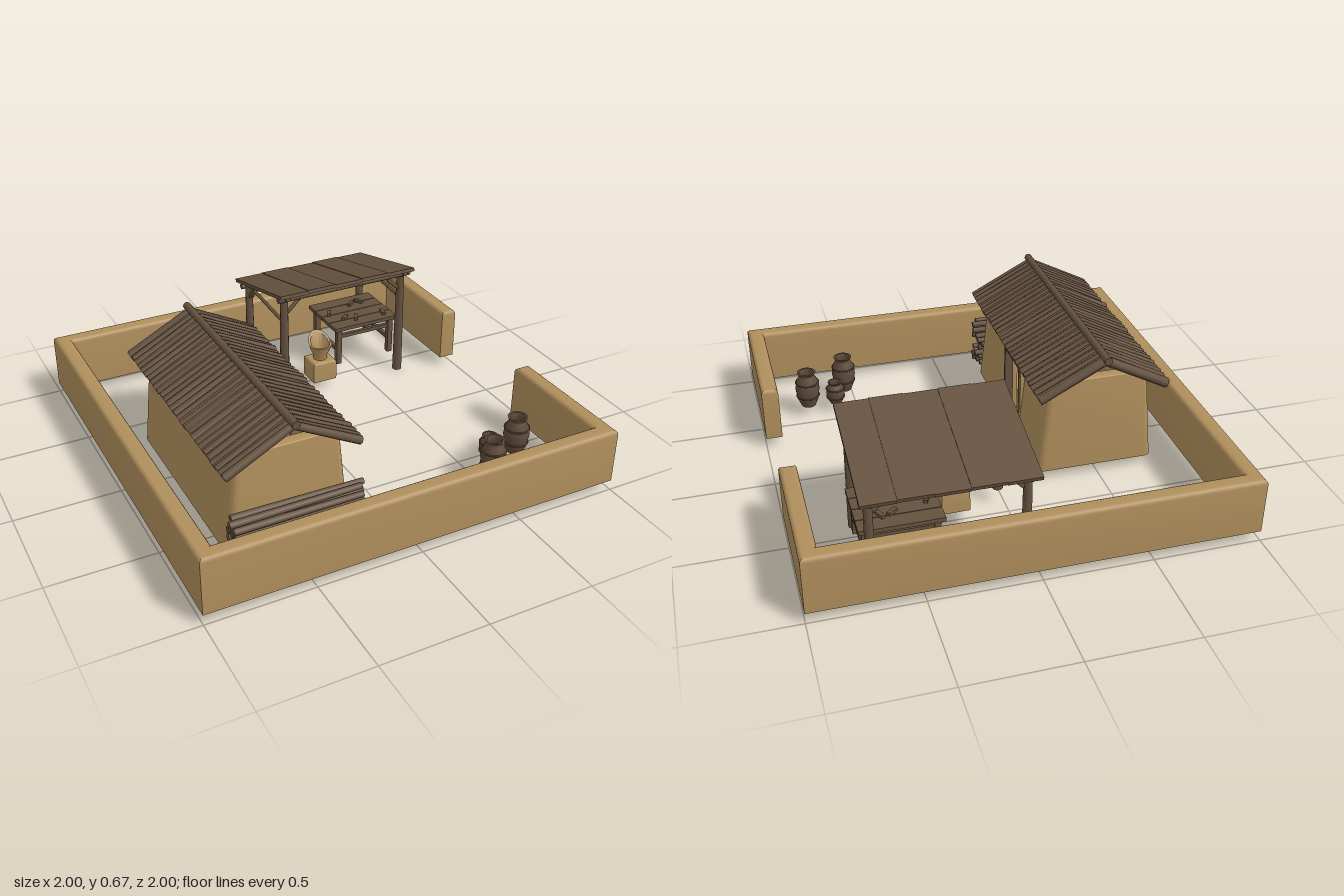
import * as THREE from 'three';
import { toCreasedNormals } from 'three/addons/utils/BufferGeometryUtils.js';

const V = (x, y, z) => new THREE.Vector3(x, y, z);

export function createModel() {
  const model = new THREE.Group();
  const material = (name, color) => {
    const m = new THREE.MeshStandardMaterial({ color, side: THREE.DoubleSide });
    m.name = name;
    return m;
  };
  const clay = material('clay', 0xaf8e5c);
  const wood = material('dark wood', 0x65523f);
  const thatch = material('roof brown', 0x65513f);
  const pottery = material('pottery', 0x5f4c3c);

  let seed = 7;
  const rand = () => (seed = (seed * 16807) % 2147483647) / 2147483647 - 0.5;

  const group = (name, parent = model) => {
    const g = new THREE.Group();
    g.name = name;
    parent.add(g);
    return g;
  };
  const add = (parent, name, geometry, mat, x = 0, y = 0, z = 0) => {
    const mesh = new THREE.Mesh(geometry, mat);
    mesh.name = name;
    mesh.position.set(x, y, z);
    parent.add(mesh);
    return mesh;
  };
  // Box given by its limits
  const box = (parent, name, mat, x0, x1, y0, y1, z0, z1) =>
    add(parent, name, new THREE.BoxGeometry(x1 - x0, y1 - y0, z1 - z0), mat,
      (x0 + x1) / 2, (y0 + y1) / 2, (z0 + z1) / 2);
  // Round pole between two points
  const pole = (parent, name, mat, a, b, r0, r1 = r0) => {
    const d = b.clone().sub(a);
    const mesh = add(parent, name, new THREE.CylinderGeometry(r1, r0, d.length(), 9), mat);
    mesh.position.copy(a).add(b).multiplyScalar(0.5);
    mesh.quaternion.setFromUnitVectors(V(0, 1, 0), d.normalize());
    return mesh;
  };
  // Plan outline from [x, z, cornerRadius], as a shape with y = -z
  const plan = (points) => {
    const s = new THREE.Shape(), n = points.length;
    points.forEach(([x, z, r], i) => {
      const p = new THREE.Vector2(x, -z);
      const toward = (q) => new THREE.Vector2(q[0], -q[1]).sub(p).setLength(r).add(p);
      const a = toward(points[(i + n - 1) % n]), b = toward(points[(i + 1) % n]);
      if (i) s.lineTo(a.x, a.y); else s.moveTo(a.x, a.y);
      if (r) s.quadraticCurveTo(p.x, p.y, b.x, b.y);
    });
    s.closePath();
    return s;
  };
  // Upright wall with a rounded top edge and a flat foot
  const wallGeometry = (shape, top, bevel) => {
    const base = 0.05;
    const g = new THREE.ExtrudeGeometry(shape, {
      depth: top - base - bevel, bevelEnabled: true, bevelThickness: bevel,
      bevelSize: bevel, bevelOffset: -bevel, bevelSegments: 4, curveSegments: 6,
    });
    g.rotateX(-Math.PI / 2).translate(0, base, 0);
    const p = g.attributes.position;
    for (let i = 0; i < p.count; i++) p.setY(i, Math.max(base, p.getY(i)));
    return g;
  };

  // Yard wall, open on the right side; sharp plan corners keep the rounded top clean
  const t = 0.92;
  add(model, 'yardWall', toCreasedNormals(wallGeometry(plan([
    [1, 0.325, 0], [1, 1, 0], [-1, 1, 0], [-1, -1, 0], [1, -1, 0], [1, -0.33, 0],
    [t, -0.33, 0], [t, -t, 0], [-t, -t, 0], [-t, t, 0], [t, t, 0], [t, 0.325, 0],
  ]), 0.32, 0.022), 0.6), clay);

  // House walls, leaning in towards the top, with a doorway
  const house = group('house');
  const cx = -0.48;
  const taper = (g) => {
    const p = g.attributes.position;
    for (let i = 0; i < p.count; i++) {
      const k = 1 - 0.17 * (p.getY(i) - 0.05) / 0.47;
      p.setX(i, cx + (p.getX(i) - cx) * k);
    }
    return toCreasedNormals(g, 0.6);
  };
  const a = -0.772, b = -0.195, w = 0.055;
  add(house, 'houseWalls', taper(wallGeometry(plan([
    [b, 0.26, 0], [b, 0.71, 0.04], [a, 0.71, 0.04], [a, -0.31, 0.04], [b, -0.31, 0.04], [b, 0.03, 0],
    [b - w, 0.03, 0], [b - w, -0.31 + w, 0.02], [a + w, -0.31 + w, 0.02],
    [a + w, 0.71 - w, 0.02], [b - w, 0.71 - w, 0.02], [b - w, 0.26, 0],
  ]), 0.525, 0.006)), clay);
  const lintel = new THREE.BoxGeometry(w, 0.105, 0.25).translate(b - w / 2, 0.4725, 0.145);
  add(house, 'doorLintelWall', taper(lintel), clay);
  box(house, 'houseFloor', clay, a + 0.02, b - 0.01, 0.05, 0.06, -0.29, 0.69);
  // Door surround and timber frame
  for (const [z0, z1] of [[0.01, 0.03], [0.26, 0.28]])
    box(house, 'doorReveal', clay, -0.27, -0.207, 0.05, 0.44, z0, z1);
  box(house, 'doorHead', clay, -0.27, -0.207, 0.425, 0.44, 0.03, 0.26);
  for (const z of [0.03, 0.252])
    box(house, 'doorPost', wood, -0.245, -0.203, 0.05, 0.43, z, z + 0.008);
  box(house, 'doorBeam', wood, -0.245, -0.203, 0.42, 0.43, 0.03, 0.26);
  box(house, 'doorSill', wood, -0.25, -0.19, 0.05, 0.068, 0.02, 0.27);

  // House roof: two sheets covered in low ribs, with edge poles and a ridge beam
  const roof = group('houseRoof');
  for (const s of [-1, 1]) {
    const ridge = (z) => V(-0.485, 0.634, z), eave = (z) => V(-0.485 + s * 0.306, 0.474, z);
    const sheet = add(roof, 'roofSheet', new THREE.BoxGeometry(0.345, 0.034, 1.12), thatch,
      -0.485 + s * 0.153, 0.552, 0.19);
    sheet.rotation.z = -s * Math.atan2(0.16, 0.306);
    for (let i = 0; i < 27; i++) {
      const z = -0.35 + i * 0.0415;
      const e = eave(z + rand() * 0.008);
      e.x += s * rand() * 0.008;
      e.y += rand() * 0.006;
      pole(roof, 'roofRib', thatch, e, ridge(z + rand() * 0.008), 0.024 + rand() * 0.004, 0.022);
    }
    for (const z of [-0.365, 0.757]) {
      const e = eave(z), r = ridge(z);
      e.y += 0.004;
      r.y += 0.004;
      pole(roof, 'roofEdgePole', wood, e, r, 0.02, 0.018);
    }
  }
  pole(roof, 'ridgeBeam', wood, V(-0.485, 0.651, -0.4), V(-0.485, 0.651, 0.785), 0.019);

  // Stack of poles against the front of the house
  const stack = group('poleStack');
  for (let row = 0; row < 7; row++)
    for (let col = 0; col < 3 - (row > 4 ? 1 : 0); col++) {
      const y = 0.07 + row * 0.037, z = 0.818 - col * 0.034 + (row % 2) * 0.006;
      pole(stack, 'stackedPole', wood, V(-0.79 + rand() * 0.03, y, z + rand() * 0.01),
        V(-0.2 + rand() * 0.05, y + rand() * 0.012, z + rand() * 0.01), 0.017, 0.014);
    }

  // Open shed with a sloping plank roof
  const shed = group('shed');
  const slope = Math.atan2(0.14, 0.57);
  for (let i = 0; i < 5; i++) {
    const plank = add(shed, 'roofPlank', new THREE.BoxGeometry(0.1515, 0.018, 0.585), thatch,
      0.061 + i * 0.1517, 0.532 + (i % 2) * 0.003, -0.637);
    plank.rotation.x = -slope;
  }
  for (const x of [0.03, 0.7]) {
    const inward = x < 0.3 ? 1 : -1;
    pole(shed, 'frontPost', wood, V(x, x < 0.3 ? 0.08 : 0, -0.415), V(x, 0.57, -0.415), 0.025, 0.02);
    pole(shed, 'backPost', wood, V(x, 0.06, -0.85), V(x, 0.47, -0.85), 0.023, 0.019);
    pole(shed, 'rafter', wood, V(x, 0.455, -0.91), V(x, 0.585, -0.365), 0.014);
    pole(shed, 'sideRail', wood, V(x, 0.455, -0.85), V(x, 0.43, -0.415), 0.009);
    pole(shed, 'frontBrace', wood, V(x, 0.47, -0.415), V(x + inward * 0.1, 0.565, -0.415), 0.01);
    pole(shed, 'backBrace', wood, V(x, 0.37, -0.85), V(x + inward * 0.08, 0.45, -0.85), 0.01);
    pole(shed, 'sideBrace', wood, V(x, 0.38, -0.85), V(x, 0.475, -0.77), 0.01);
  }
  pole(shed, 'frontBeam', wood, V(-0.01, 0.57, -0.4), V(0.74, 0.57, -0.4), 0.017);
  pole(shed, 'backBeam', wood, V(-0.01, 0.45, -0.86), V(0.74, 0.45, -0.86), 0.015);

  // Work table with small tools
  const table = group('workTable');
  for (let i = 0; i < 4; i++)
    box(table, 'tablePlank', wood, 0.37, 0.74, 0.25, 0.27, -0.82 + i * 0.08, -0.744 + i * 0.08);
  for (const x of [0.4, 0.71]) {
    for (const z of [-0.78, -0.53]) box(table, 'tableLeg', wood, x - 0.014, x + 0.014, 0.05, 0.25, z - 0.014, z + 0.014);
    box(table, 'tableRail', wood, x - 0.009, x + 0.009, 0.12, 0.14, -0.78, -0.53);
  }
  for (const z of [-0.78, -0.53]) box(table, 'longRail', wood, 0.4, 0.71, 0.2, 0.22, z - 0.009, z + 0.009);
  for (let i = 0; i < 6; i++) {
    const tool = add(table, 'tool', new THREE.BoxGeometry(0.05, 0.016, 0.018), wood,
      0.42 + i * 0.053, 0.277, -0.66 + rand() * 0.22);
    tool.rotation.y = rand() * 3;
  }

  // Clay hearth: block with a flared bowl and a raised back
  const hearth = group('hearth');
  const block = plan([[-0.065, 0.06, 0], [0.065, 0.06, 0], [0.065, -0.06, 0], [-0.065, -0.06, 0]]);
  add(hearth, 'hearthBlock', toCreasedNormals(wallGeometry(block, 0.16, 0.012), 0.6), clay, 0.25, 0, -0.45);
  const bowl = new THREE.LatheGeometry([[0, 0], [0.035, 0], [0.038, 0.03], [0.055, 0.065],
    [0.062, 0.085], [0.05, 0.085], [0.03, 0.04], [0, 0.035]].map(([x, y]) => new THREE.Vector2(x, y)), 20);
  const bp = bowl.attributes.position;
  for (let i = 0; i < bp.count; i++)
    if (bp.getY(i) > 0.05) bp.setY(i, bp.getY(i) + Math.max(0, -bp.getZ(i)) * 0.9);
  add(hearth, 'hearthBowl', toCreasedNormals(bowl, 0.7), clay, 0.25, 0.155, -0.45);

  // Storage jars
  const jars = group('jars');
  for (const [x, z, r, h] of [[0.545, 0.71, 0.06, 0.19], [0.61, 0.585, 0.048, 0.12], [0.75, 0.6, 0.061, 0.19]]) {
    const profile = [[0, 0], [0.6, 0], [0.85, 0.2], [1, 0.5], [0.93, 0.72], [0.66, 0.88], [0.62, 0.92],
      [0.78, 1], [0.6, 1], [0.5, 0.9], [0.75, 0.7], [0.75, 0.3], [0, 0.12]];
    const jar = new THREE.LatheGeometry(profile.map(([u, v]) => new THREE.Vector2(u * r, v * h)), 20);
    add(jars, 'jar', toCreasedNormals(jar, 0.9), pottery, x, 0.05, z);
    for (const [u, v] of [[0.93, 0.3], [0.95, 0.7]]) {
      const band = add(jars, 'jarBand', new THREE.TorusGeometry(u * r, 0.004, 6, 20), pottery, x, 0.05 + v * h, z);
      band.rotation.x = Math.PI / 2;
    }
  }
  return model;
}
